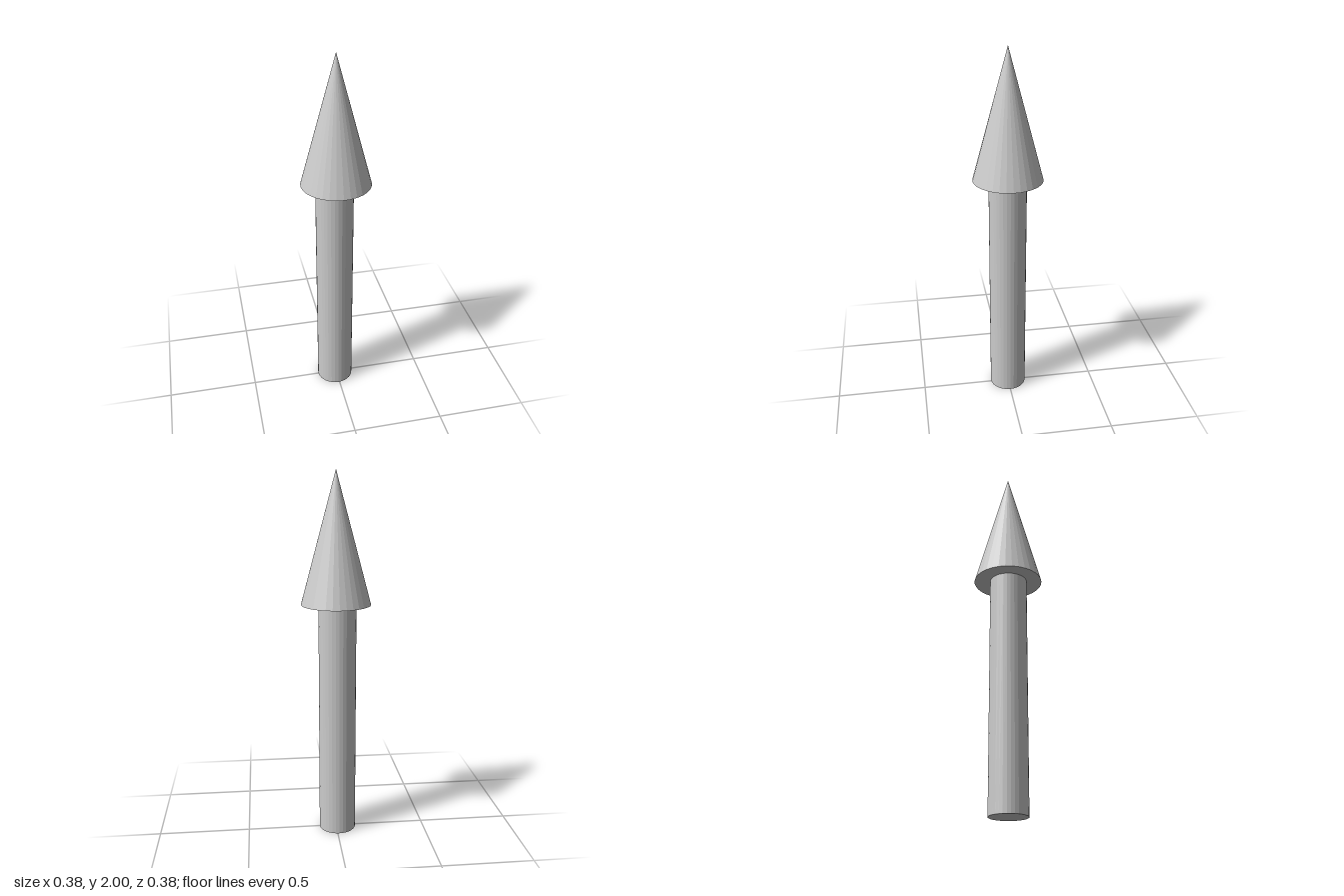
import * as THREE from 'three';

const SIDES = 32;
const HEIGHT = 2;
const HEAD_BASE = 1.3;

export function createModel() {
  const model = new THREE.Group();
  model.name = 'arrow';
  const material = new THREE.MeshStandardMaterial({ color: 0xcccccc, flatShading: true });

  // Round shaft, set slightly off the head's axis
  const shaft = new THREE.Mesh(new THREE.CylinderGeometry(0.102, 0.102, HEAD_BASE, SIDES), material);
  shaft.name = 'shaft';
  shaft.position.set(-0.008, HEAD_BASE / 2, 0);

  // Pointed head with a closed underside
  const headHeight = HEIGHT - HEAD_BASE;
  const head = new THREE.Mesh(new THREE.ConeGeometry(0.188, headHeight, SIDES), material);
  head.name = 'head';
  head.position.y = HEAD_BASE + headHeight / 2;

  model.add(shaft, head);
  return model;
}
